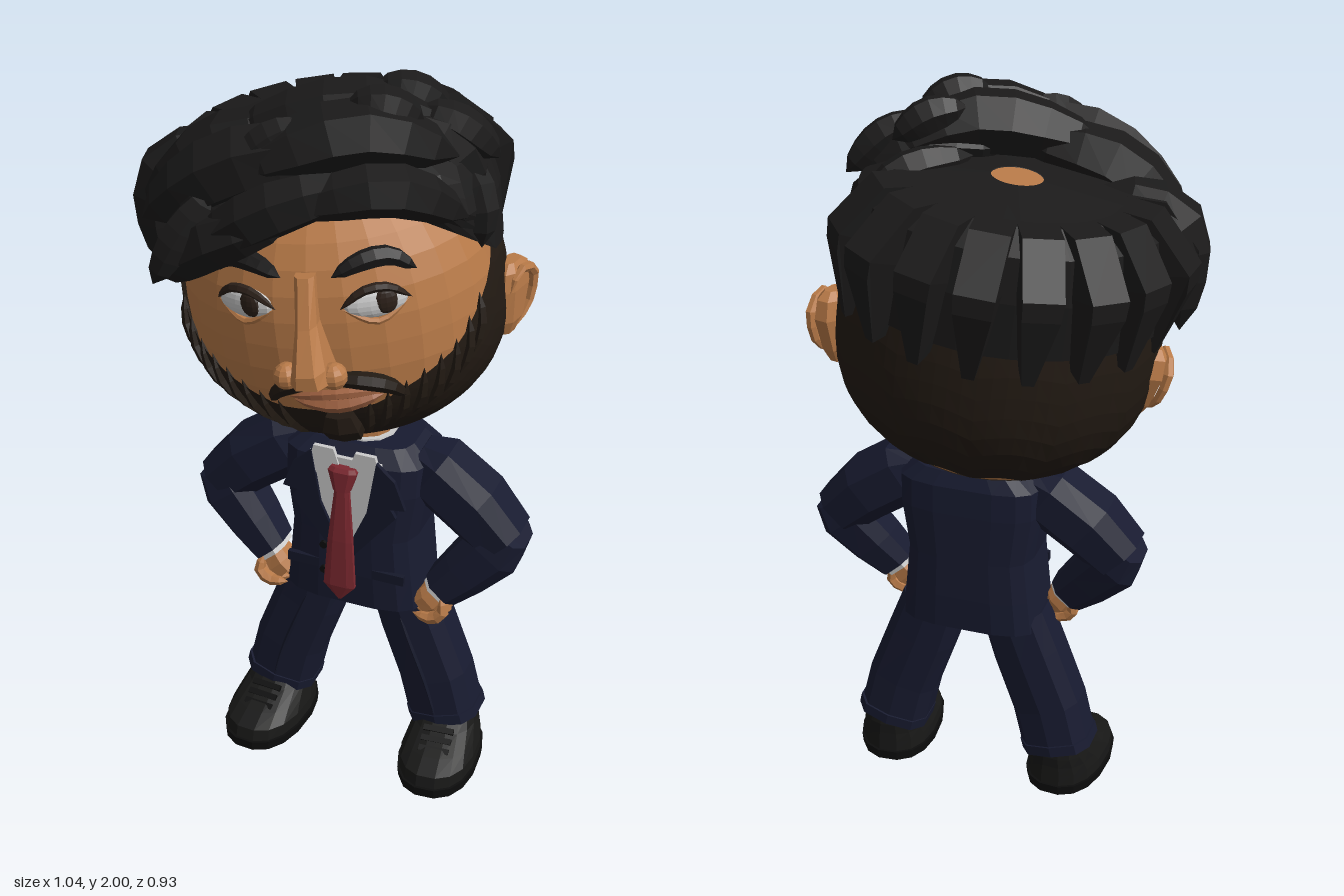
import * as THREE from 'three';
import { ParametricGeometry } from 'three/addons/geometries/ParametricGeometry.js';

const material = color => new THREE.MeshStandardMaterial({ color, flatShading: true, side: THREE.DoubleSide, roughness: 0.9 });
const SKIN = material(0xb87a48), HAIR = material(0x1b1a1a), BEARD = material(0x221a13), SUIT = material(0x181b30),
  LAPEL = material(0x15182a), SHIRT = material(0xcccccc), TIE = material(0x7c2830), SHOE = material(0x181817),
  SOLE = material(0x0d0d0d), IRIS = material(0x2c2019), LIP = material(0x9c6040);

function add(parent, name, geometry, mat, x = 0, y = 0, z = 0) {
  const mesh = new THREE.Mesh(geometry, mat);
  mesh.name = name;
  mesh.position.set(x, y, z);
  parent.add(mesh);
  return mesh;
}

// Closed loft through sections [x, y, z, halfWidth, halfDepth], each square to the path in the xy plane
function limb(rows, sides = 10, power = 0.7) {
  const pos = [], index = [];
  const soft = v => Math.sign(v) * Math.abs(v) ** power;
  rows.forEach(([x, y, z, rx, rz], i) => {
    const a = rows[Math.max(i - 1, 0)], b = rows[Math.min(i + 1, rows.length - 1)];
    const turn = Math.atan2(b[1] - a[1], b[0] - a[0]) - Math.PI / 2;
    for (let j = 0; j < sides; j++) {
      const t = (j + 0.5) / sides * Math.PI * 2, w = rx * soft(Math.cos(t));
      pos.push(x + w * Math.cos(turn), y + w * Math.sin(turn), z + rz * soft(Math.sin(t)));
    }
  });
  const last = (rows.length - 1) * sides;
  for (let i = 0; i < last; i += sides) for (let j = 0; j < sides; j++) {
    const a = i + j, b = i + (j + 1) % sides;
    index.push(a, a + sides, b, b, a + sides, b + sides);
  }
  for (let j = 1; j < sides - 1; j++) index.push(0, j, j + 1, last, last + j + 1, last + j);
  const g = new THREE.BufferGeometry();
  g.setAttribute('position', new THREE.Float32BufferAttribute(pos, 3));
  g.setIndex(index);
  g.computeVertexNormals();
  return g;
}

// Tube whose thickness swells in the middle and closes at both ends
function strand(points, radius, sides = 6, steps = 8) {
  const curve = new THREE.CatmullRomCurve3(points.map(p => p.isVector3 ? p : new THREE.Vector3(...p)));
  const g = new THREE.TubeGeometry(curve, steps, radius, sides), p = g.attributes.position, v = new THREE.Vector3();
  for (let i = 0; i < p.count; i++) {
    const t = Math.floor(i / (sides + 1)) / steps, c = curve.getPointAt(t);
    v.fromBufferAttribute(p, i).sub(c).multiplyScalar(Math.sin(Math.PI * t) ** 0.5).add(c);
    p.setXYZ(i, v.x, v.y, v.z);
  }
  g.computeVertexNormals();
  return g;
}

function panel(points, depth = 0.012) {
  const shape = new THREE.Shape(points.map(p => new THREE.Vector2(...p)));
  return new THREE.ExtrudeGeometry(shape, { depth, bevelEnabled: false });
}

// Blocky lock: a side profile given width, narrowing toward its lower tip
function wedgeLock(length) {
  const g = panel([[0.2, 0.42], [0.36, 0.415], [0.4 + length, 0.3], [0.4 + length, 0.25], [0.415, 0.06], [0.35, 0.08], [0.3, 0.25]], 1);
  const p = g.attributes.position;
  for (let i = 0; i < p.count; i++) {
    const width = THREE.MathUtils.lerp(0.03, 0.1, THREE.MathUtils.smoothstep(p.getY(i), 0.05, 0.3));
    p.setZ(i, (p.getZ(i) - 0.5) * width);
  }
  return g.rotateY(-Math.PI / 2);
}

// Head surface by azimuth (0 faces front) and height
const RX = 0.405, RY = 0.385, RZ = 0.355;
const girth = y => Math.sqrt(Math.max(0, 1 - Math.min(1, Math.abs(y) / RY) ** 2.5));
const surf = (az, y, k = 1) => new THREE.Vector3(Math.sin(az) * RX * girth(y) * k, y, Math.cos(az) * RZ * girth(y) * k);
const onFace = (x, y, k = 1) => surf(Math.asin(THREE.MathUtils.clamp(x / (RX * girth(y)), -1, 1)), y, k);
function interp(table, x) {
  let i = 0;
  while (i < table.length - 2 && x > table[i + 1][0]) i++;
  const [a, b] = [table[i], table[i + 1]];
  return THREE.MathUtils.lerp(a[1], b[1], THREE.MathUtils.clamp((x - a[0]) / (b[0] - a[0]), 0, 1));
}
const beardTop = az => interp([[0, -0.18], [0.3, -0.175], [0.6, -0.12], [0.9, -0.06], [1.2, 0.05], [1.42, 0.14], [1.6, 0.28]], Math.abs(az));
const hairline = az => interp([[0, 0.3], [0.55, 0.31], [1, 0.21], [1.4, 0.11], [3.2, 0.1]], Math.abs(az)) + 0.04 * Math.sin(az) * (Math.abs(az) < 1.57 ? Math.cos(az) : 0);
const wrap = (fn, nu, nv) => new ParametricGeometry((u, v, out) => out.copy(fn((u * 2 - 1) * Math.PI, v)), nu, nv);

function buildHead() {
  const head = new THREE.Group();
  head.name = 'head';
  add(head, 'skull', wrap((az, v) => surf(az, -RY * Math.cos(Math.PI * v)), 28, 18), SKIN);

  // Beard and cropped back hair, with a notched edge at the nape
  add(head, 'beard', wrap((az, v) => {
    const nape = -0.32 + 0.035 * Math.abs(Math.sin(az * 6));
    const low = THREE.MathUtils.lerp(-RY, nape, THREE.MathUtils.smoothstep(Math.abs(az), 1.2, 1.5));
    return surf(az, THREE.MathUtils.lerp(low, beardTop(az), v), 1.025);
  }, 72, 10), BEARD);
  add(head, 'underside', wrap((az, v) => surf(az, THREE.MathUtils.lerp(-RY, -0.335, v), 1.02), 28, 4), BEARD);
  for (const s of [-1, 1]) for (let i = 0; i < 8; i++) {
    const az = s * (0.3 + i * 0.12), y = beardTop(az);
    add(head, 'beardStrand', strand([surf(az, y + 0.02, 1.02), surf(az * 0.97, y - 0.06, 1.04), surf(az * 0.9, y - 0.13, 1.04)], 0.013, 4, 4), BEARD);
  }

  // Eyes, brows, ears, nostrils and moustache halves
  for (const s of [-1, 1]) {
    const eye = new THREE.Group();
    eye.name = 'eye';
    eye.position.copy(onFace(s * 0.16, 0.11, 0.995));
    eye.rotation.y = s * 0.4;
    head.add(eye);
    add(eye, 'eyeWhite', new THREE.SphereGeometry(1, 14, 10), SHIRT).scale.set(0.078, 0.04, 0.022);
    add(eye, 'iris', new THREE.SphereGeometry(1, 12, 8), IRIS, 0.022, 0.004, 0.013).scale.set(0.03, 0.033, 0.013);
    add(eye, 'upperLid', strand([[-0.088, -0.005, 0], [-0.03, 0.04, 0.014], [0.03, 0.04, 0.014], [0.088, -0.005, 0]], 0.012), IRIS);
    add(eye, 'lowerLid', strand([[-0.083, -0.005, 0], [0, -0.046, 0.012], [0.083, -0.005, 0]], 0.009), SKIN);
    add(head, 'brow', strand([onFace(s * 0.06, 0.18, 1.02), onFace(s * 0.13, 0.21, 1.03), onFace(s * 0.19, 0.21, 1.03), onFace(s * 0.25, 0.165, 1.01)], 0.026), HAIR);

    const ear = new THREE.Group();
    ear.name = 'ear';
    ear.position.set(s * 0.4 + 0.014, -0.055, -0.035);
    ear.rotation.set(0, -s * 0.4, -s * 0.12);
    head.add(ear);
    add(ear, 'earBody', limb([[0, -0.1, 0.015, 0.018, 0.025], [0, -0.06, 0.01, 0.032, 0.045], [0, 0.03, 0, 0.036, 0.065], [0, 0.08, 0, 0.032, 0.055], [0, 0.1, 0, 0.018, 0.03]], 8), SKIN);
    add(ear, 'earRim', strand([[s * 0.03, 0.03, 0.05], [s * 0.035, 0.085, 0.02], [s * 0.035, 0.06, -0.05], [s * 0.03, -0.03, -0.045], [s * 0.025, -0.085, 0.01]], 0.014), SKIN);
    add(head, 'nostril', new THREE.SphereGeometry(0.034, 10, 8), SKIN, s * 0.058, -0.042, 0.405);
    add(head, 'moustache', strand([onFace(0.03 - s * 0.02, -0.075, 1.03), onFace(0.035 + s * 0.07, -0.083, 1.05), onFace(0.035 + s * 0.13, -0.112, 1.04), onFace(0.035 + s * 0.165, -0.16, 1.03)], 0.023), BEARD);
  }
  add(head, 'nose', limb([[0.005, -0.075, 0.37, 0.035, 0.045], [0.005, -0.05, 0.39, 0.052, 0.08], [0.005, -0.015, 0.39, 0.044, 0.08], [0, 0.08, 0.35, 0.028, 0.06], [0, 0.19, 0.325, 0.026, 0.03]], 8), SKIN);
  add(head, 'upperLip', strand([onFace(-0.08, -0.14, 1.01), onFace(0.03, -0.125, 1.03), onFace(0.16, -0.13, 1.01)], 0.015), LIP);
  add(head, 'lowerLip', strand([onFace(-0.07, -0.148, 1.01), onFace(0.04, -0.16, 1.03), onFace(0.15, -0.142, 1.01)], 0.02), LIP);
  add(head, 'chinTuft', limb([[0.04, -0.27, 0.3, 0.045, 0.035], [0.04, -0.23, 0.335, 0.05, 0.035], [0.04, -0.185, 0.345, 0.035, 0.025]], 6), BEARD);

  // Hair cap open at the crown
  const CROWN = -0.05;
  add(head, 'hairCap', wrap((az, v) => {
    const low = hairline(az);
    const r = interp([[0, girth(low) * 1.04], [0.3, 1.02], [0.6, 0.95], [0.8, 0.74], [1, 0.16]], v);
    const y = interp([[0, low], [0.3, Math.max(low + 0.05, 0.25)], [0.6, 0.365], [0.8, 0.415], [1, 0.435]], v);
    return new THREE.Vector3(Math.sin(az) * RX * r, y, Math.cos(az) * RZ * r + CROWN * v);
  }, 40, 10), HAIR);
  add(head, 'crown', new THREE.CylinderGeometry(0.066, 0.066, 0.06, 20), SKIN, 0, 0.4, CROWN);

  // Chunky locks fanning round the sides and back
  for (let i = 0; i < 9; i++) {
    const lock = add(head, 'backLock', wedgeLock(0.06 + (i % 2) * 0.015), HAIR);
    lock.rotation.y = 2.06 + i * 0.345;
  }
  // Swept fringe and quiff: start, middle, end, thickness
  const sweep = ([a, b, c, r]) => add(head, 'fringeLock', strand([a, b, c], r, 6, 7), HAIR);
  [
    [[0.37, 0.25, 0.16], [0.22, 0.38, 0.28], [-0.04, 0.36, 0.34], 0.065],
    [[0.17, 0.4, 0.28], [-0.05, 0.36, 0.33], [-0.3, 0.22, 0.28], 0.07],
    [[0, 0.34, 0.33], [-0.22, 0.27, 0.31], [-0.42, 0.12, 0.18], 0.07],
    [[0.35, 0.38, 0.1], [0.14, 0.49, 0.2], [-0.16, 0.43, 0.28], 0.085],
    [[0.12, 0.46, 0.2], [-0.15, 0.44, 0.24], [-0.43, 0.28, 0.2], 0.09],
    [[0.35, 0.4, 0.02], [0.13, 0.5, 0.1], [-0.2, 0.47, 0.15], 0.085],
    [[0.03, 0.47, 0.12], [-0.24, 0.42, 0.13], [-0.45, 0.24, 0.1], 0.09],
  ].forEach(sweep);
  // Locks at the temples
  [
    [[0.39, 0.25, 0.04], [0.29, 0.42, 0.06], [0.04, 0.45, 0.09], 0.07],
    [[-0.2, 0.42, 0.02], [-0.4, 0.35, 0.05], [-0.45, 0.06, 0.04], 0.07],
    [[0.38, 0.14, 0.1], [0.38, 0.26, 0.08], [0.27, 0.39, -0.04], 0.05],
    [[0.36, 0.33, -0.1], [0.27, 0.4, -0.05], [0.12, 0.44, 0.02], 0.05],
  ].forEach(sweep);
  // Short curls riding on top, drooping with the curve of the quiff
  for (const [x, y, z] of [[0.35, 0.44, 0.05], [0.24, 0.52, 0.03], [0.2, 0.54, 0.16], [-0.06, 0.5, 0.25], [-0.22, 0.43, 0.25], [-0.29, 0.3, 0.31]]) {
    const lean = 0.3 * (x - 0.08);
    add(head, 'curl', strand([[x + 0.08, y - 0.02 - lean, z - 0.03], [x, y, z], [x - 0.09, y - 0.02 + lean, z + 0.025]], 0.047, 6, 7), HAIR);
  }
  return head;
}

function buildBody() {
  const body = new THREE.Group();
  body.name = 'body';
  add(body, 'jacket', limb([[0, 0.52, 0.025, 0.2, 0.133], [0, 0.62, 0.026, 0.19, 0.136], [0, 0.74, 0.026, 0.178, 0.136], [0, 0.88, 0.024, 0.2, 0.135], [0, 0.96, 0.02, 0.2, 0.127], [0, 1.0, 0.01, 0.15, 0.1]], 16, 0.55), SUIT);
  add(body, 'neck', limb([[0, 0.95, 0.01, 0.07, 0.07], [0, 1.07, 0.01, 0.075, 0.075]], 12, 1), SKIN);
  add(body, 'collarBand', limb([[0, 0.97, 0.01, 0.095, 0.09], [0, 1.005, 0.01, 0.085, 0.085]], 12, 1), SHIRT);
  add(body, 'shirt', panel([[-0.1, 0.985], [0.1, 0.985], [0.08, 0.85], [0, 0.69], [-0.08, 0.85]]), SHIRT, 0, 0, 0.152);

  // Tie
  add(body, 'tieKnot', limb([[0, 0.9, 0.18, 0.024, 0.016], [0, 0.955, 0.172, 0.042, 0.02], [0, 0.965, 0.168, 0.035, 0.015]], 8), TIE);
  add(body, 'tieBlade', limb([[0, 0.565, 0.198, 0.006, 0.006], [0, 0.61, 0.2, 0.046, 0.012], [0, 0.75, 0.193, 0.036, 0.012], [0, 0.91, 0.18, 0.02, 0.01]], 8), TIE);
  for (const y of [0.7, 0.62]) add(body, 'button', new THREE.CylinderGeometry(0.011, 0.011, 0.012, 8), SOLE, -0.06, y, 0.163).rotation.x = Math.PI / 2;
  add(body, 'hips', limb([[0, 0.495, 0.015, 0.05, 0.08], [0, 0.54, 0.015, 0.18, 0.1]], 10), SUIT);

  for (const s of [-1, 1]) {
    const side = rows => rows.map(([x, ...rest]) => [s * x, ...rest]);
    const flat = pts => panel(side(pts));
    add(body, 'lapel', flat([[0.09, 0.995], [0.14, 0.95], [0.17, 0.87], [0.13, 0.865], [0.145, 0.84], [0.01, 0.67], [0.005, 0.7], [0.065, 0.84]]), LAPEL, 0, 0, 0.162);
    add(body, 'collarWing', flat([[0.03, 1.01], [0.085, 1.01], [0.1, 0.95], [0.06, 0.91], [0.015, 0.965]]), SHIRT, 0, 0, 0.157);
    add(body, 'pocketFlap', new THREE.BoxGeometry(0.09, 0.028, 0.014), LAPEL, s * 0.12, 0.635, 0.155);

    // Arms bent with hands on the hips
    add(body, 'upperArm', limb(side([[0.15, 0.955, 0.02, 0.05, 0.06], [0.2, 0.925, 0.025, 0.09, 0.085], [0.315, 0.845, 0.03, 0.09, 0.09], [0.4, 0.76, 0.035, 0.076, 0.08]]), 8), SUIT);
    add(body, 'forearm', limb(side([[0.415, 0.795, 0.035, 0.06, 0.07], [0.378, 0.735, 0.04, 0.082, 0.08], [0.307, 0.655, 0.055, 0.072, 0.072], [0.247, 0.59, 0.07, 0.058, 0.06]]), 8), SUIT);
    add(body, 'cuff', limb(side([[0.26, 0.605, 0.07, 0.05, 0.053], [0.238, 0.58, 0.075, 0.05, 0.052]]), 8), SHIRT);
    add(body, 'palm', limb(side([[0.25, 0.59, 0.075, 0.036, 0.04], [0.22, 0.555, 0.08, 0.042, 0.048], [0.195, 0.535, 0.085, 0.035, 0.04]]), 8), SKIN);
    for (let i = 0; i < 4; i++) {
      const z = 0.04 + i * 0.026;
      add(body, 'finger', strand([[s * 0.255, 0.585, z], [s * 0.265, 0.54, z + 0.01], [s * 0.235, 0.515, z + 0.012], [s * 0.18, 0.52, z + 0.012]], 0.018, 6, 6), SKIN);
    }

    // Legs
    add(body, 'trouserLeg', limb(side([[0.245, 0.125, 0.012, 0.1, 0.088], [0.213, 0.26, 0.014, 0.1, 0.088], [0.155, 0.42, 0.014, 0.098, 0.09], [0.115, 0.54, 0.014, 0.092, 0.092]]), 10), SUIT);
    add(body, 'trouserHem', limb(side([[0.247, 0.125, 0.012, 0.104, 0.093], [0.24, 0.155, 0.012, 0.104, 0.093]]), 10), SUIT);
    add(body, 'trouserCrease', strand([[s * 0.245, 0.14, 0.1], [s * 0.213, 0.26, 0.103], [s * 0.155, 0.42, 0.105], [s * 0.125, 0.5, 0.1]], 0.006, 4), LAPEL);

    // Shoes
    const shoe = new THREE.Group();
    shoe.name = 'shoe';
    shoe.position.x = s * 0.25;
    shoe.rotation.y = s * 0.08;
    body.add(shoe);
    add(shoe, 'sole', limb([[0, 0, 0.088, 0.108, 0.172], [0, 0.028, 0.088, 0.111, 0.174]], 16, 0.85), SOLE);
    add(shoe, 'upper', limb([[0, 0.028, 0.088, 0.105, 0.167], [0, 0.06, 0.085, 0.104, 0.162], [0, 0.085, 0.06, 0.096, 0.135], [0, 0.115, 0.025, 0.086, 0.1], [0, 0.145, 0.01, 0.078, 0.08]], 16, 0.85), SHOE);
    for (let i = 0; i < 3; i++) add(shoe, 'lace', new THREE.BoxGeometry(0.085, 0.012, 0.016), SOLE, 0, 0.122 - i * 0.016, 0.115 + i * 0.025).rotation.x = 0.6;
  }
  return body;
}

export function createModel() {
  const model = new THREE.Group();
  model.name = 'suitedFigure';
  const body = buildBody(), head = buildHead();
  body.position.x = 0.06;
  // Head turned and tilted to one side
  head.position.set(-0.01, 1.4, -0.01);
  head.rotation.set(0, 0.17, 0.12, 'YXZ');
  model.add(body, head);
  return model;
}
